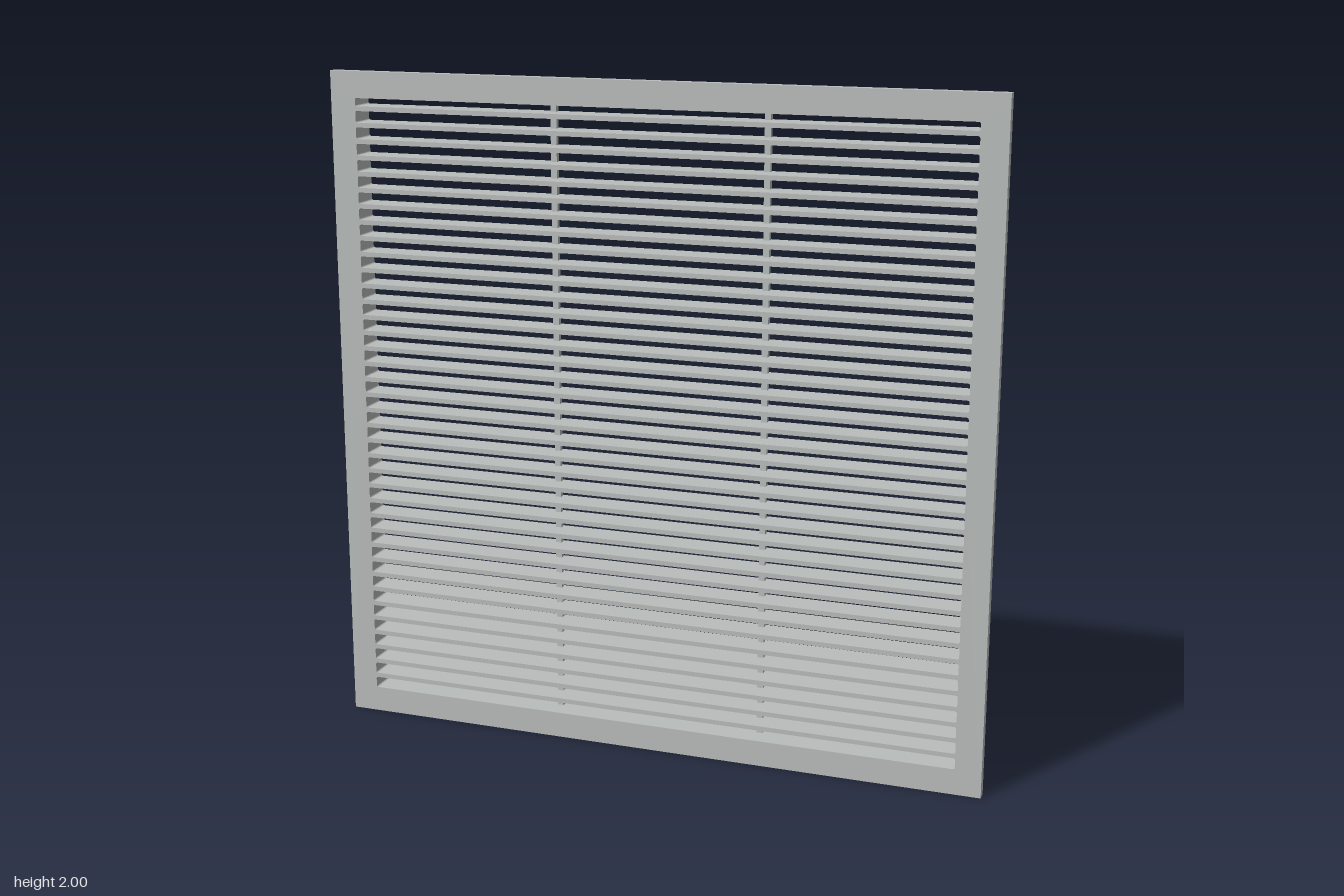
import * as THREE from 'three';

const SLOT_HALF = 0.922;   // half width of the slots
const SLOT_BOTTOM = 0.078;
const SLOT_TOP = 1.922;
const PITCH = 0.0479;      // spacing of the louvre slats
const GAP = 0.034;         // clear height of one slot
const BACK = -0.0425, STEP = 0.0125, FRONT = 0.0425;

// Rectangle with slightly rounded corners
function slotPath(x0, y0, x1, y1, r) {
  const p = new THREE.Path();
  p.moveTo(x0 + r, y0);
  p.lineTo(x1 - r, y0);
  p.quadraticCurveTo(x1, y0, x1, y0 + r);
  p.lineTo(x1, y1 - r);
  p.quadraticCurveTo(x1, y1, x1 - r, y1);
  p.lineTo(x0 + r, y1);
  p.quadraticCurveTo(x0, y1, x0, y1 - r);
  p.lineTo(x0, y0 + r);
  p.quadraticCurveTo(x0, y0, x0 + r, y0);
  return p;
}

// Square plate centred on y = 1, pierced by the row of slots
function slottedPlate(half, z0, z1) {
  const shape = new THREE.Shape();
  shape.moveTo(-half, 1 - half);
  shape.lineTo(half, 1 - half);
  shape.lineTo(half, 1 + half);
  shape.lineTo(-half, 1 + half);
  shape.closePath();
  for (let y = SLOT_BOTTOM; y < SLOT_TOP - 0.01; y += PITCH) {
    const top = Math.min(y + GAP, SLOT_TOP);
    shape.holes.push(slotPath(-SLOT_HALF, y, SLOT_HALF, top, 0.006));
  }
  const geo = new THREE.ExtrudeGeometry(shape, { depth: z1 - z0, bevelEnabled: false, curveSegments: 3 });
  geo.translate(0, 0, z0);
  return geo;
}

export function createModel() {
  const group = new THREE.Group();
  group.name = 'ventGrille';
  const grey = new THREE.MeshStandardMaterial({ color: 0xb9bdbb });
  grey.name = 'lightGrey';

  const add = (name, geo) => {
    const mesh = new THREE.Mesh(geo, grey);
    mesh.name = name;
    group.add(mesh);
    return mesh;
  };

  // Wide front flange and the narrower louvre block behind it
  add('frontFrame', slottedPlate(1, STEP, FRONT));
  add('louvreBlock', slottedPlate(0.932, BACK, STEP));

  // Two upright braces set into the back of the slats
  for (const side of [-1, 1]) {
    const bar = add(side < 0 ? 'rightBrace' : 'leftBrace',
      new THREE.BoxGeometry(0.018, SLOT_TOP - SLOT_BOTTOM, 0.016));
    bar.position.set(side * 0.32, 1, -0.027);
  }
  return group;
}
